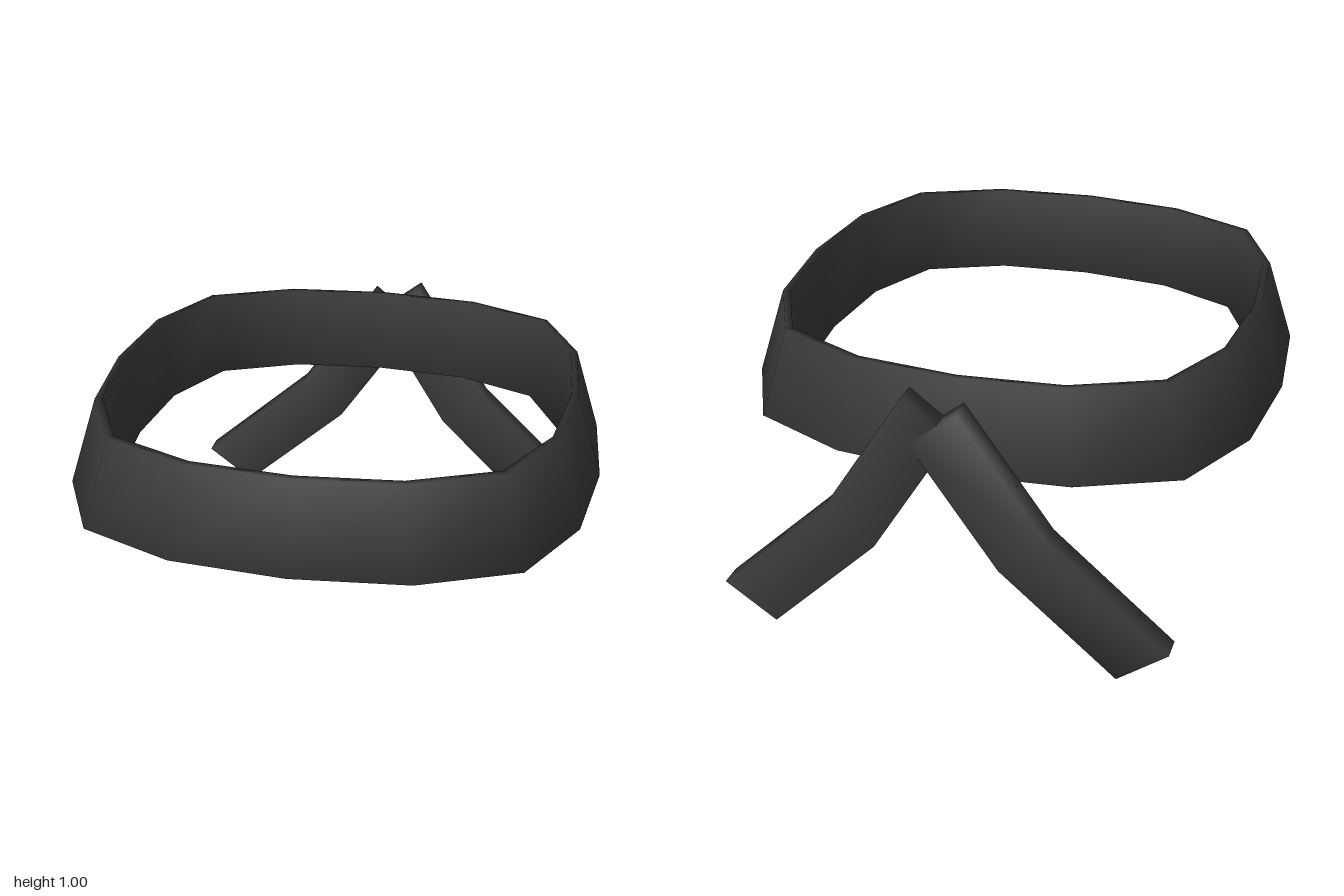
import * as THREE from 'three';

const material = new THREE.MeshStandardMaterial({ color: 0x3a3a3a });

// Skin a row of four-cornered sections; smooth shared normals.
function loft(name, sections, closed) {
  const n = sections.length;
  const index = [];
  for (let i = 0; i < (closed ? n : n - 1); i++) {
    for (let j = 0; j < 4; j++) {
      const k = (j + 1) % 4;
      const next = (i + 1) % n;
      const a = i * 4 + j, b = next * 4 + j, c = next * 4 + k, d = i * 4 + k;
      index.push(a, b, c, a, c, d);
    }
  }
  if (!closed) {
    const e = (n - 1) * 4;
    index.push(0, 1, 2, 0, 2, 3, e, e + 2, e + 1, e, e + 3, e + 2);
  }
  const geometry = new THREE.BufferGeometry();
  geometry.setAttribute('position', new THREE.Float32BufferAttribute(sections.flat(2), 3));
  geometry.setIndex(index);
  geometry.computeVertexNormals();
  const mesh = new THREE.Mesh(geometry, material);
  mesh.name = name;
  return mesh;
}

// Rounded-square outline with 16 corners, made by mirroring one quarter.
function bandOutline() {
  const quarter = [[0, 0.96], [0.42, 0.92], [0.77, 0.765], [0.93, 0.43]];
  const half = [...quarter, [0.97, 0], ...quarter.slice().reverse().map(([x, z]) => [x, -z])];
  const otherHalf = half.slice(1, -1).reverse().map(([x, z]) => [-x, z]);
  return [...half, ...otherHalf];
}

// Tail strip: pairs of edge points (lower x first) from the knot to the free end.
function tail(name, pairs, back, front) {
  const sections = pairs.map(([a, b]) => [
    [...a, back], [...a, front], [...b, front], [...b, back],
  ]);
  return loft(name, sections, false);
}

export function createModel() {
  const group = new THREE.Group();
  group.name = 'headband';

  // Wedge-shaped band, thin at the top and thick at the bottom.
  // Corners as [scale, height, z centre]: outer bottom, outer top, inner top, inner bottom
  const profile = [[1, 0.68, 0.04], [0.9, 1, 0.035], [0.873, 1, 0.033], [0.835, 0.68, 0.025]];
  const sections = bandOutline().map(([x, z]) =>
    profile.map(([s, y, zc]) => [x * s, y, z * s + zc]));
  group.add(loft('band', sections, true));

  // Two bent tails crossing at the back
  group.add(tail('rightTail', [
    [[-0.06, 0.96], [0.11, 0.82]],
    [[-0.37, 0.525], [-0.2, 0.38]],
    [[-0.8, 0.155], [-0.62, 0.02]],
  ], -1, -0.912));
  group.add(tail('leftTail', [
    [[-0.04, 0.86], [0.13, 0.99]],
    [[0.25, 0.39], [0.425, 0.525]],
    [[0.645, 0], [0.835, 0.13]],
  ], -0.998, -0.914));

  return group;
}
